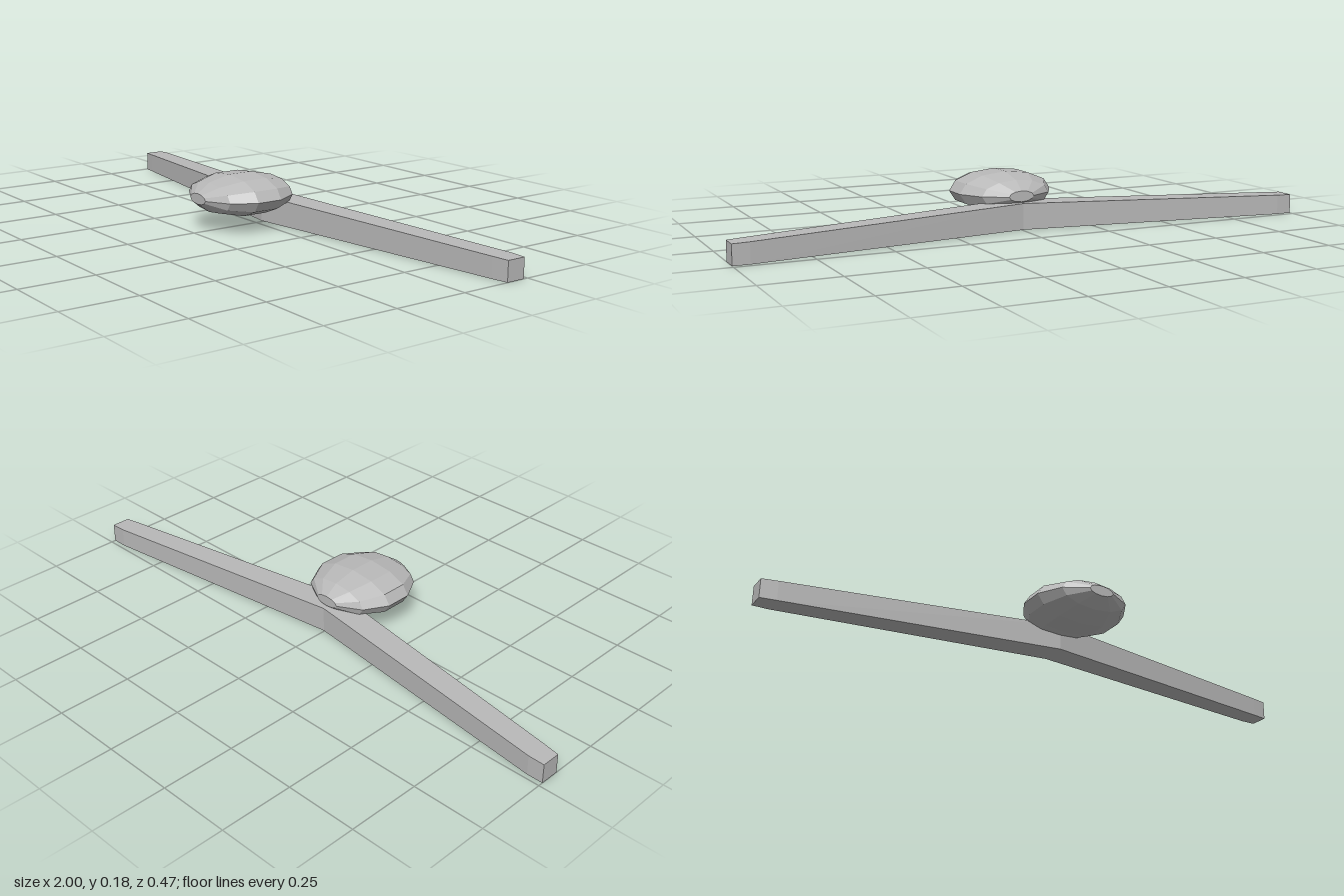
import * as THREE from 'three';

const grey = new THREE.MeshStandardMaterial({ color: 0xb8b8b8 });
grey.name = 'plain grey';
grey.flatShading = true;

// Faceted pod: a twelve-sided lathe laid along z and flattened, with flat ends
function makePod() {
  const half = [[0.045, 0.0675], [0.125, 0.0495], [0.1695, 0.018], [0.1695, 0]];
  const profile = [
    ...half.slice().reverse().map(([z, r]) => new THREE.Vector2(r, -z)),
    ...half.map(([z, r]) => new THREE.Vector2(r, z)),
  ];
  const geo = new THREE.LatheGeometry(profile, 12);
  geo.rotateX(Math.PI / 2);
  geo.scale(0.168 / 0.0675, 1, 1);
  const pod = new THREE.Mesh(geo, grey);
  pod.name = 'pod';
  pod.position.set(0, 0.1125, 0.0645);
  return pod;
}

// Swept wing: rectangular cross-sections joined from tip to tip
function makeWing() {
  // x, rear z, front z, bottom y, top y
  const halfSections = [
    [0, -0.12, -0.023, 0.003, 0.091],
    [0.945, -0.234, -0.159, 0, 0.0675],
    [1, -0.234, -0.168, 0, 0.066],
  ];
  const mirrored = halfSections.slice(1).reverse().map(([x, ...rest]) => [-x, ...rest]);
  const sections = [...mirrored, ...halfSections];
  const positions = [];
  for (const [x, back, front, low, high] of sections) {
    positions.push(x, low, back, x, low, front, x, high, front, x, high, back);
  }
  const index = [];
  const quad = (a, b, c, d) => index.push(a, b, c, a, c, d);
  for (let s = 0; s < sections.length - 1; s++) {
    for (let k = 0; k < 4; k++) {
      const a = s * 4 + k;
      const b = s * 4 + (k + 1) % 4;
      quad(a, a + 4, b + 4, b);
    }
  }
  const end = (sections.length - 1) * 4;
  quad(0, 1, 2, 3);
  quad(end + 3, end + 2, end + 1, end);
  let geo = new THREE.BufferGeometry();
  geo.setAttribute('position', new THREE.Float32BufferAttribute(positions, 3));
  geo.setIndex(index);
  geo = geo.toNonIndexed();
  geo.computeVertexNormals();
  const wing = new THREE.Mesh(geo, grey);
  wing.name = 'sweptWing';
  return wing;
}

export function createModel() {
  const model = new THREE.Group();
  model.name = 'flyingWing';
  model.add(makePod(), makeWing());
  return model;
}
